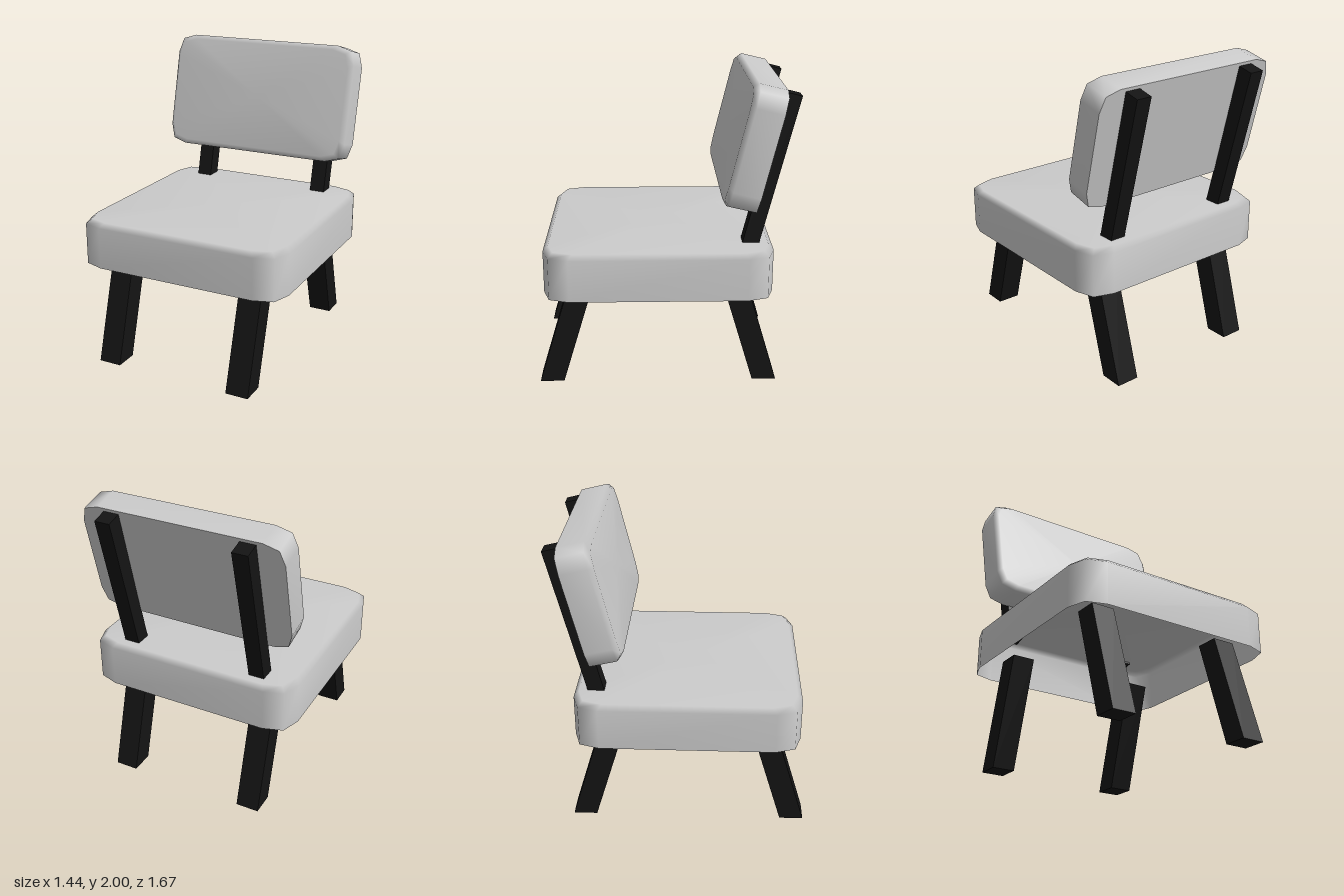
import * as THREE from 'three';

const grey = new THREE.MeshStandardMaterial({ color: 0xcccccc, side: THREE.DoubleSide });
const black = new THREE.MeshStandardMaterial({ color: 0x141414 });

// Outline with blunt two-step corners, counter-clockwise seen from +y
function outline(hw, hd, cut, nip) {
  const corner = [[hw, hd - cut], [hw - nip, hd - nip], [hw - cut, hd]];
  const flip = [...corner].reverse();
  return [
    ...corner,
    ...flip.map(([x, z]) => [-x, z]),
    ...corner.map(([x, z]) => [-x, -z]),
    ...flip.map(([x, z]) => [x, -z]),
  ].reverse();
}

// Soft pad: straight wall, chamfered rim and smooth top, open underneath
function padGeometry(hw, hd, height, cut, nip, bevel) {
  const base = outline(hw, hd, cut, nip);
  const n = base.length;
  const pos = [];
  const index = [];
  const rings = [[0, 0], [height - bevel, 0], [height, bevel]];
  for (const [y, inset] of rings) {
    for (const [x, z] of base) pos.push(x * (1 - inset / hw), y, z * (1 - inset / hd));
  }
  pos.push(0, height, 0);
  const centre = n * rings.length;
  for (let i = 0; i < n; i++) {
    const j = (i + 1) % n;
    for (let r = 0; r < rings.length - 1; r++) {
      const a = r * n + i, b = r * n + j;
      index.push(a, b, b + n, a, b + n, a + n);
    }
    const top = (rings.length - 1) * n;
    index.push(top + i, top + j, centre);
  }
  const g = new THREE.BufferGeometry();
  g.setAttribute('position', new THREE.Float32BufferAttribute(pos, 3));
  g.setIndex(index);
  g.computeVertexNormals();
  return g;
}

function add(parent, name, geometry, material) {
  const mesh = new THREE.Mesh(geometry, material);
  mesh.name = name;
  parent.add(mesh);
  return mesh;
}

// Square leg leaning along z, with level ends
function legGeometry(lean) {
  const h = 0.73;
  const g = new THREE.BoxGeometry(0.155, h, 0.157).translate(0, h / 2, 0);
  const p = g.attributes.position;
  for (let i = 0; i < p.count; i++) p.setZ(i, p.getZ(i) + lean * p.getY(i));
  g.computeVertexNormals();
  return g;
}

export function createModel() {
  const model = new THREE.Group();
  model.name = 'chair';

  // Seat cushion
  add(model, 'seat', padGeometry(0.72, 0.735, 0.31, 0.17, 0.042, 0.032), grey).position.set(0, 0.65, 0.05);

  // Backrest cushion with a flat rear panel
  const backrest = new THREE.Group();
  backrest.name = 'backrest';
  backrest.position.set(-0.006, 1.568, -0.642);
  backrest.rotation.x = Math.PI / 2 - 0.235;
  add(backrest, 'backCushion', padGeometry(0.68, 0.398, 0.21, 0.13, 0.03, 0.032), grey);
  const panel = new THREE.Shape(outline(0.68, 0.398, 0.13, 0.03).map(([x, z]) => new THREE.Vector2(x, z)));
  add(backrest, 'backPanel', new THREE.ShapeGeometry(panel).rotateX(Math.PI / 2), grey);
  model.add(backrest);

  for (const side of [1, -1]) {
    const label = side > 0 ? 'left' : 'right';
    // Legs
    add(model, label + 'FrontLeg', legGeometry(-0.3), black).position.set(side * 0.472, 0, 0.757);
    add(model, label + 'BackLeg', legGeometry(0.3), black).position.set(side * 0.472, 0, -0.652);
    // Backrest post
    const post = add(model, label + 'BackPost', new THREE.BoxGeometry(0.105, 1.02, 0.105), black);
    post.position.set(side * 0.456 - 0.006, 1.427, -0.658);
    post.rotation.x = -0.241;
  }
  return model;
}
